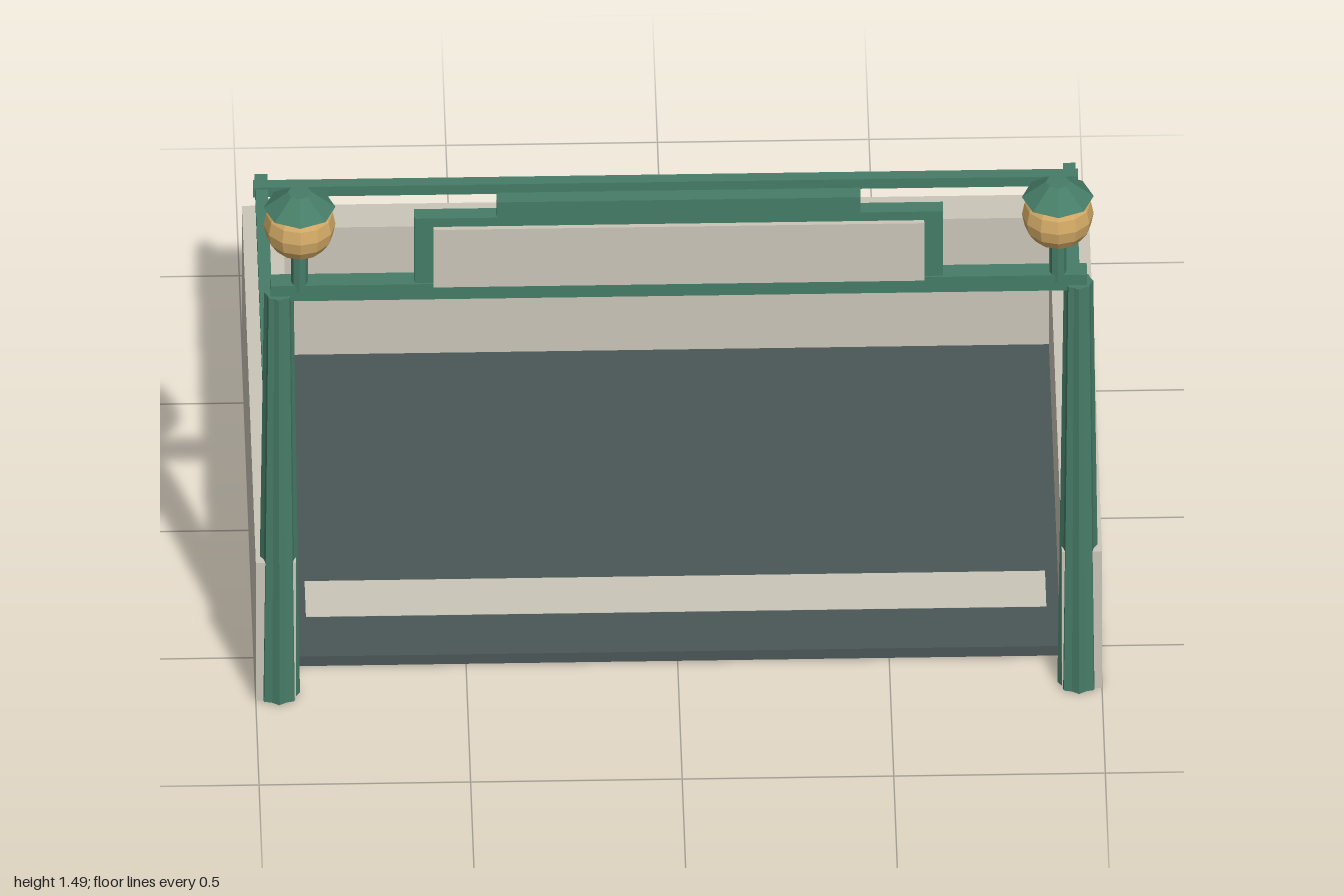
import * as THREE from 'three';

const mat = (name, color, flat = true) => {
  const m = new THREE.MeshStandardMaterial({ color, flatShading: flat });
  m.name = name;
  return m;
};

export function createModel() {
  const green = mat('paintedGreen', 0x467c67);
  const stone = mat('paleStone', 0xcbc5b8);
  const slate = mat('darkSlate', 0x4a5656);
  const amber = mat('amberGlass', 0xd3aa66);
  const model = new THREE.Group();
  model.name = 'stairEntrance';

  const add = (name, geometry, material) => {
    const mesh = new THREE.Mesh(geometry, material);
    mesh.name = name;
    model.add(mesh);
    return mesh;
  };
  // Box given by its lower and upper corners
  const box = (name, material, [x0, y0, z0], [x1, y1, z1]) => {
    const mesh = add(name, new THREE.BoxGeometry(x1 - x0, y1 - y0, z1 - z0), material);
    mesh.position.set((x0 + x1) / 2, (y0 + y1) / 2, (z0 + z1) / 2);
    return mesh;
  };

  // Floor slab with pale bands above and below
  box('floor', slate, [-0.905, 0.007, -0.64], [0.905, 0.035, 0.545]);
  box('upperBand', stone, [-0.875, 0.03, 0.25], [0.875, 0.036, 0.39]);
  box('lowerBand', stone, [-0.875, 0, -0.5], [0.875, 0.008, -0.37]);

  // Back parapet and its rail
  box('backWall', stone, [-1, 0.005, -0.73], [1, 0.41, -0.64]);
  box('backRail', green, [-0.975, 0.48, -0.7], [0.975, 0.508, -0.67]);

  // Fluted tapering column
  const columnGeometry = () => {
    const g = new THREE.CylinderGeometry(0.035, 0.05, 1.185, 16, 1);
    const p = g.attributes.position;
    for (let i = 0; i < p.count; i++) {
      const step = Math.round(Math.atan2(p.getX(i), p.getZ(i)) / (Math.PI / 8));
      if (step % 2 !== 0) {
        p.setX(i, p.getX(i) * 0.86);
        p.setZ(i, p.getZ(i) * 0.86);
      }
    }
    g.computeVertexNormals();
    return g;
  };

  for (const s of [-1, 1]) {
    const side = s > 0 ? 'left' : 'right';
    // Side parapet, rail and balusters
    const wall = box(side + 'Wall', stone, [-0.0475, 0.005, -0.64], [0.0475, 0.41, 0.673]);
    wall.position.x = s * 0.9525;
    const rail = box(side + 'Rail', green, [-0.015, 0.475, -0.73], [0.015, 0.503, 0.62]);
    rail.position.x = s * 0.955;
    for (let i = 0; i < 4; i++) {
      const z = 0.56 - i * 0.39;
      const baluster = box(side + 'Baluster', green, [-0.013, 0.405, z - 0.013], [0.013, 0.478, z + 0.013]);
      baluster.position.x = s * 0.955;
    }

    // Column
    add(side + 'Column', columnGeometry(), green).position.set(s * 0.945, 0.5975, 0.645);

    // Lamp: stem, globe and cap
    const lamp = [
      ['Stem', new THREE.CylinderGeometry(0.02, 0.02, 0.13, 8), green, 1.265],
      ['Globe', new THREE.SphereGeometry(0.085, 12, 8), amber, 1.39],
      ['Cap', new THREE.CylinderGeometry(0.028, 0.085, 0.045, 8), green, 1.4625],
    ];
    for (const [part, g, m, y] of lamp) {
      add(side + 'Lamp' + part, g, m).position.set(s * 0.896, y, 0.645);
    }
  }

  // Cross beam
  box('crossBeam', green, [-0.965, 1.175, 0.615], [0.965, 1.22, 0.662]);

  // Stepped sign board
  const outline = [[-0.625, 1.215], [0.625, 1.215], [0.625, 1.41], [0.43, 1.41],
    [0.43, 1.455], [-0.43, 1.455], [-0.43, 1.41], [-0.625, 1.41]];
  const board = new THREE.Shape(outline.map(([x, y]) => new THREE.Vector2(x, y)));
  add('signBoard', new THREE.ExtrudeGeometry(board, { depth: 0.038, bevelEnabled: false }), green)
    .position.z = 0.619;
  box('signPanel', stone, [-0.58, 1.215, 0.65], [0.58, 1.385, 0.669]);

  return model;
}
